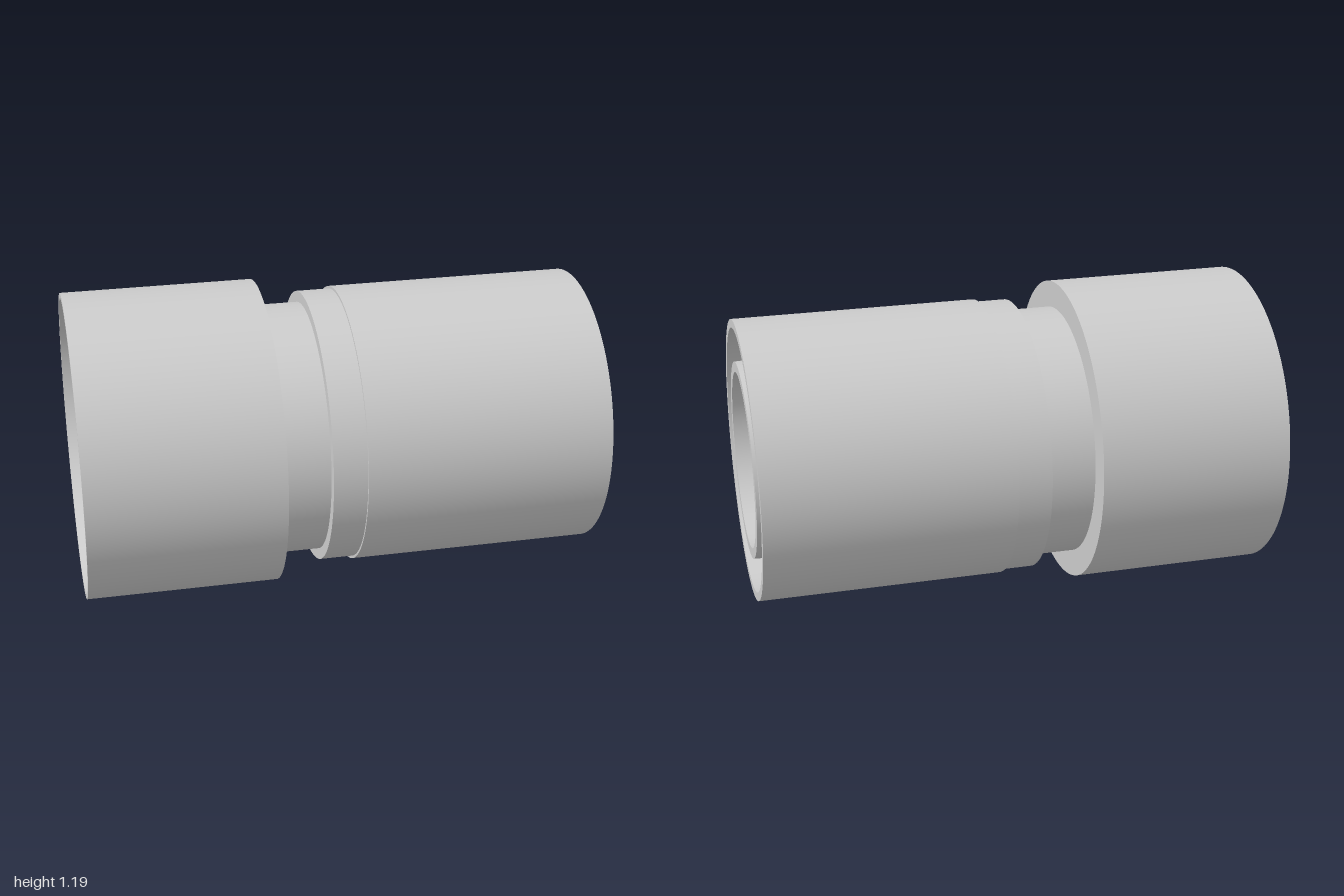
import * as THREE from 'three';
import { mergeGeometries } from 'three/addons/utils/BufferGeometryUtils.js';

const AXIS_HEIGHT = 0.593;
const SEGMENTS = 128;

// Revolves [radius, x] points around the x axis; every profile segment keeps sharp edges.
function turned(name, profile, material) {
  const bands = [];
  for (let i = 0; i < profile.length - 1; i++) {
    const pair = [profile[i], profile[i + 1]].map(([r, x]) => new THREE.Vector2(r, x));
    bands.push(new THREE.LatheGeometry(pair, SEGMENTS));
  }
  const geometry = mergeGeometries(bands);
  geometry.rotateZ(-Math.PI / 2);
  const mesh = new THREE.Mesh(geometry, material);
  mesh.name = name;
  mesh.position.y = AXIS_HEIGHT;
  return mesh;
}

export function createModel() {
  const group = new THREE.Group();
  group.name = 'pipeCoupling';
  const grey = new THREE.MeshStandardMaterial({ color: 0xcccccc });
  grey.name = 'lightGrey';

  // Profiles run with the solid on their left, so the faces point outward.
  const parts = {
    // Wide collar with a tapered socket open to the -x end
    collar: [[0.34, -0.72], [0.527, -0.72], [0.572, -1], [0.593, -1], [0.593, -0.26], [0.49, -0.26]],
    // Recessed groove between collar and ring
    neck: [[0.49, -0.26], [0.49, -0.08]],
    // Narrow step ring
    stepRing: [[0.49, -0.08], [0.533, -0.08], [0.533, 0.05]],
    // Outer sleeve, its inside tapering down to the floor of the annular gap
    sleeve: [[0.533, 0.05], [0.543, 0.05], [0.543, 1], [0.51, 1], [0.463, 0.05], [0.412, 0.05]],
    // Tapered inner tube with the through bore
    innerTube: [[0.412, 0.05], [0.38, 1], [0.34, 1], [0.34, -0.72]],
  };
  for (const [name, profile] of Object.entries(parts)) {
    group.add(turned(name, profile, grey));
  }
  return group;
}
